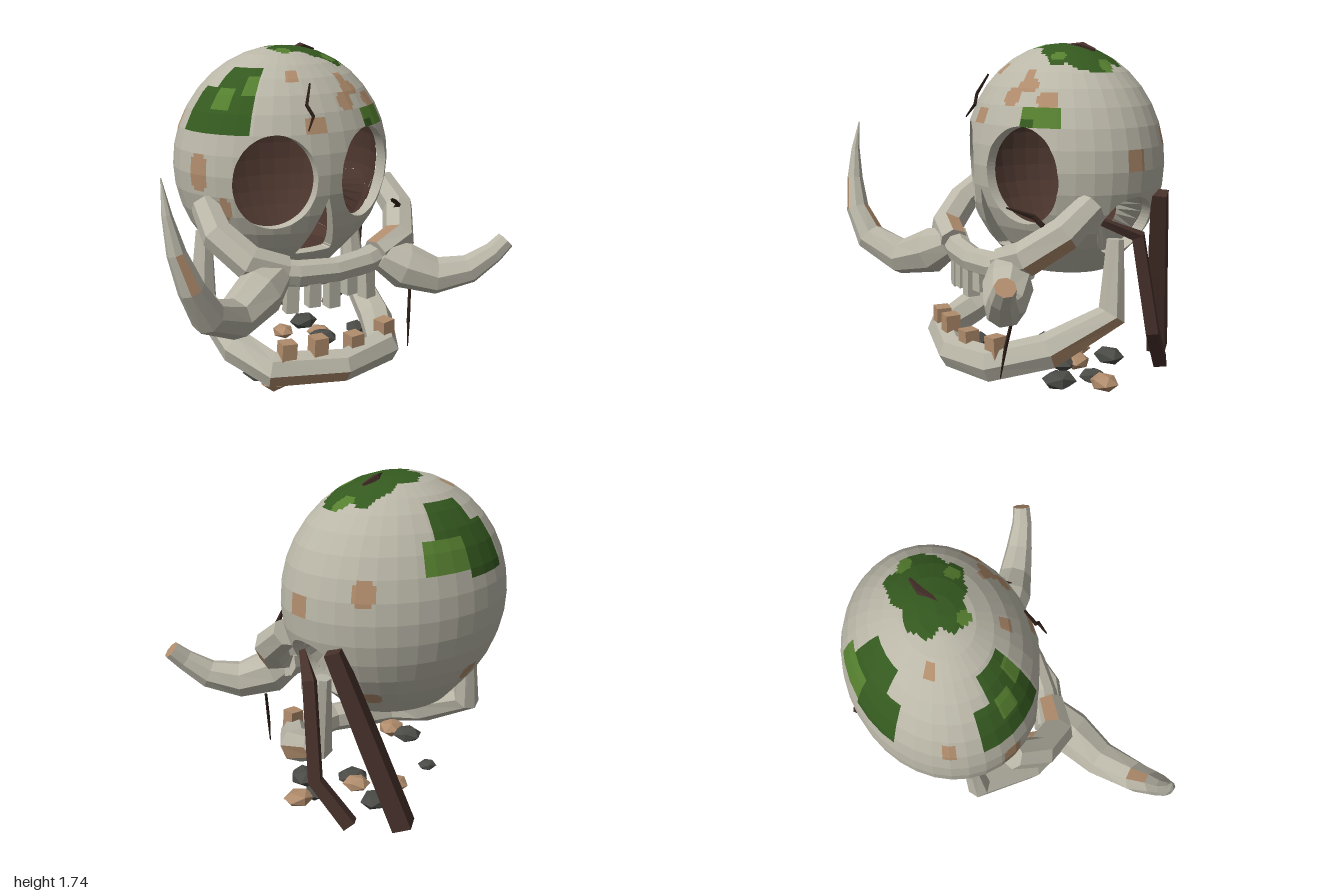
import * as THREE from 'three';

const mat = (name, color) => Object.assign(new THREE.MeshStandardMaterial({ color }), { name });
const bone = mat('bone', 0xbab7a8);
const stain = mat('tan stain', 0xb08c6c);
const moss = mat('dark moss', 0x34591f);
const lightMoss = mat('light moss', 0x557f2f);
const hollow = mat('hollow brown', 0x4c362e);
const wood = mat('root brown', 0x46302a);
const crackDark = mat('crack brown', 0x2e1f18);
const stone = mat('dark stone', 0x4a4a46);

const V = (x, y, z) => new THREE.Vector3(x, y, z);

// Collects triangles by material and turns them into one faceted mesh
class Facets {
  constructor() { this.buckets = new Map(); }
  tri(m, ...pts) {
    if (!this.buckets.has(m)) this.buckets.set(m, []);
    for (const p of pts) this.buckets.get(m).push(p.x, p.y, p.z);
  }
  quad(m, a, b, c, d) { this.tri(m, a, b, c); this.tri(m, a, c, d); }
  mesh(name) {
    const geo = new THREE.BufferGeometry(), all = [], mats = [];
    for (const [m, list] of this.buckets) {
      geo.addGroup(all.length / 3, list.length / 3, mats.length);
      for (const v of list) all.push(v);
      mats.push(m);
    }
    geo.setAttribute('position', new THREE.Float32BufferAttribute(all, 3));
    geo.computeVertexNormals();
    const mesh = new THREE.Mesh(geo, mats);
    mesh.name = name;
    return mesh;
  }
}

// Faceted limb: rows are [x, y, z, radius]; spots are [segment, direction] of the faces to stain
function limb(name, rows, sides, base, spots = [], endMat = base) {
  const f = new Facets(), c = rows.map(r => V(r[0], r[1], r[2])), last = c.length - 1;
  let n = V(0.13, 0.9, 0.31);
  const rings = c.map((p, i) => {
    const t = c[Math.min(i + 1, last)].clone().sub(c[Math.max(i - 1, 0)]).normalize();
    n = n.clone().addScaledVector(t, -n.dot(t)).normalize();
    const b = t.clone().cross(n);
    return Array.from({ length: sides }, (_, k) => {
      const a = (k + 0.5) / sides * Math.PI * 2;
      return p.clone().addScaledVector(n, Math.cos(a) * rows[i][3]).addScaledVector(b, Math.sin(a) * rows[i][3]);
    });
  });
  const facing = (i, k) => rings[i][k].clone().add(rings[i][(k + 1) % sides]).multiplyScalar(0.5).sub(c[i]).normalize();
  const stained = new Set(spots.map(([i, dir]) => {
    const score = rings[i].map((_, k) => facing(i, k).add(facing(i + 1, k)).dot(dir));
    return i * sides + score.indexOf(Math.max(...score));
  }));
  for (let k = 0; k < sides; k++) {
    const k2 = (k + 1) % sides;
    for (let i = 0; i < last; i++)
      f.quad(stained.has(i * sides + k) ? stain : base, rings[i][k], rings[i][k2], rings[i + 1][k2], rings[i + 1][k]);
    f.tri(base, c[0], rings[0][k2], rings[0][k]);
    f.tri(endMat, c[last], rings[last][k], rings[last][k2]);
  }
  return f.mesh(name);
}

// --- Cranium: hollow ellipsoid with eye, nose and temple openings ---
const C = V(0.05, 1.12, -0.19), R = V(0.615, 0.62, 0.505), SHELL = 0.9;

// Negative inside an opening
function openings(p) {
  const oval = (a, b, ra, rb) => Math.hypot(a / ra, b / rb) - 1;
  let d = 1;
  if (p.z > C.z) {
    d = Math.min(d, oval(p.x + 0.22, p.y - 1.09, 0.2, 0.245), oval(p.x - 0.325, p.y - 1.09, 0.2, 0.245));
    d = Math.min(d, Math.max(Math.abs(p.x - 0.05) - 0.34 * (1.0 - p.y), 0.67 - p.y) * 5);
  }
  if (p.x > C.x) d = Math.min(d, oval(p.z + 0.25, p.y - 0.83, 0.17, 0.16));
  return d;
}

// Point on the scaled ellipsoid, straight along z (front) or x (side)
const rest = (a, ra, b, rb) => Math.sqrt(Math.max(0, 1 - (a / ra / SHELL) ** 2 - (b / rb / SHELL) ** 2)) * SHELL;
const frontInner = p => V(p.x, p.y, C.z + R.z * rest(p.x - C.x, R.x, p.y - C.y, R.y));
const sideInner = p => V(C.x + R.x * rest(p.y - C.y, R.y, p.z - C.z, R.z), p.y, p.z);

// Stains: azimuth (0 front, 90 left side), elevation, half width, half height in degrees
const stains = [[-17, 52, 6, 4], [18, 35, 7, 4.5], [28, 42, 7.5, 5], [43.5, 34, 7, 5], [26, 48, 5, 3.5], [-6, 24, 7, 5],
  [-72, 1, 6, 10], [-56, -16, 4, 5.5], [96, 5, 7, 5.5], [134, 14, 5.5, 5.5], [133, -45, 7, 4.5], [-110, 23, 5, 5.5],
  [-124, 64, 7, 3.5], [-160, -35, 7, 4.5], [-75, -32, 5, 4]];

function skullPaint(az, el) {
  const inBox = (a0, a1, e0, e1) => az > a0 && az < a1 && el > e0 && el < e1;
  const ce = Math.cos(el * Math.PI / 180), a = az * Math.PI / 180;
  const x = C.x + R.x * ce * Math.sin(a), z = C.z + R.z * ce * Math.cos(a);
  // crown patch
  if (el > 50) {
    const dx = (x - 0.2) / 0.26, dz = (z + 0.18) / 0.18, w = Math.atan2(dz, dx);
    const near = (px, pz, r) => Math.hypot(x - px, z - pz) < r;
    if (Math.hypot(dx, dz) < 1 + 0.1 * Math.sin(w * 5 + 1) + 0.05 * Math.sin(w * 11))
      return near(0.41, -0.25, 0.06) || near(-0.01, -0.07, 0.045) || near(0.25, -0.04, 0.04) ? lightMoss : moss;
  }
  // side patch
  if (inBox(-90, -74, 20, 44) || inBox(-76, -42, 20, 58))
    return inBox(-72, -58, 32, 44) || inBox(-52, -42, 40, 52) ? lightMoss : moss;
  // brow patch
  if (inBox(28, 52, 20, 30)) return az < 36 && el < 24 ? moss : lightMoss;
  // back patch
  if (inBox(164, 181, 20, 36) || inBox(-181, -170, 20, 36)) return lightMoss;
  if (inBox(172, 181, 36, 56) || inBox(-181, -154, 36, 56) || inBox(-170, -142, 16, 42)) return moss;
  for (const [sa, se, hw, hh] of stains)
    if (Math.abs((az - sa) / hw) ** 3 + Math.abs((el - se) / hh) ** 3 < 1) return stain;
  return bone;
}

function cranium() {
  const f = new Facets(), U = 36, W = 18, S = 5;
  const node = (i, j) => {
    const az = (i / U * 2 - 1) * Math.PI, el = (j / W - 0.5) * Math.PI;
    return V(C.x + R.x * Math.cos(el) * Math.sin(az), j < 4 ? 0.56 : C.y + R.y * Math.sin(el), C.z + R.z * Math.cos(el) * Math.cos(az));
  };
  const inner = p => p.clone().sub(C).multiplyScalar(SHELL).add(C);
  // Trims a triangle at the openings; rim adds the wall of the opening
  const addClipped = (m, tri, rim) => {
    const d = tri.map(openings), poly = [];
    let exit, entry;
    tri.forEach((p, i) => {
      const k = (i + 1) % 3;
      if (d[i] > 0) poly.push(p);
      if ((d[i] > 0) !== (d[k] > 0)) {
        const q = p.clone().lerp(tri[k], d[i] / (d[i] - d[k]));
        poly.push(q);
        if (d[i] > 0) exit = q; else entry = q;
      }
    });
    for (let i = 2; i < poly.length; i++) f.tri(m, poly[0], poly[i - 1], poly[i]);
    if (exit && rim) {
      const drop = exit.z > 0 ? frontInner : sideInner;
      f.quad(bone, exit, drop(exit), drop(entry), entry);
    }
  };
  for (let i = 0; i < U; i++) for (let j = 0; j < W; j++) {
    const [a, b, c, d] = [node(i, j), node(i + 1, j), node(i + 1, j + 1), node(i, j + 1)];
    const at = (u, v) => a.clone().lerp(b, u / S).lerp(d.clone().lerp(c, u / S), v / S);
    for (let u = 0; u < S; u++) for (let v = 0; v < S; v++) {
      const m = skullPaint((i + (u + 0.5) / S) / U * 360 - 180, (j + (v + 0.5) / S) / W * 180 - 90);
      const [p, q, r, s] = [at(u, v), at(u + 1, v), at(u + 1, v + 1), at(u, v + 1)];
      for (const t of [[p, q, r], [p, r, s]]) {
        addClipped(m, t, true);
        addClipped(hollow, [inner(t[0]), inner(t[2]), inner(t[1])], false);
      }
    }
  }
  return f.mesh('cranium');
}

// Bone funnel narrowing inwards from the temple opening, brown on its hidden side
function templeLining() {
  const f = new Facets(), N = 20;
  const ring = k => {
    const a = k / N * Math.PI * 2, co = Math.cos(a), si = Math.sin(a);
    return [sideInner(V(0, 0.83 + 0.16 * co, -0.25 + 0.17 * si)), V(0.4, 0.89 + 0.085 * co, -0.22 + 0.085 * si)];
  };
  for (let k = 0; k < N; k++) {
    const [a, b] = ring(k), [d, c] = ring(k + 1);
    f.quad(bone, d, c, b, a);
    f.quad(hollow, a, b, c, d);
  }
  return f.mesh('templeLining');
}

export function createModel() {
  const g = new THREE.Group();
  g.name = 'skull';
  g.add(cranium(), templeLining());

  // Upper jaw and cheek arches
  g.add(limb('upperJaw', [[-0.36, 0.66, 0.27, 0.08], [-0.16, 0.63, 0.33, 0.072], [0.05, 0.62, 0.35, 0.068],
    [0.26, 0.63, 0.33, 0.072], [0.46, 0.66, 0.27, 0.08]], 8, bone));
  for (const s of [-1, 1]) {
    const x = v => 0.05 + s * v;
    g.add(limb(s > 0 ? 'leftCheek' : 'rightCheek', [[x(0.55), 0.96, -0.02, 0.077], [x(0.56), 0.84, 0.14, 0.088],
      [x(0.46), 0.72, 0.29, 0.092], [x(0.28), 0.66, 0.33, 0.082]], 7, bone,
      s > 0 ? [[1, V(1, 0, 0.1)], [2, V(0, 1, 0.3)]] : [[2, V(0, 1, -0.2)]]));
  }

  // Tusks: one whole, one broken off
  g.add(limb('rightTusk', [[-0.27, 0.65, 0.33, 0.08], [-0.4, 0.59, 0.38, 0.127], [-0.6, 0.525, 0.49, 0.102], [-0.79, 0.62, 0.61, 0.085],
    [-0.885, 0.78, 0.65, 0.064], [-0.945, 0.95, 0.64, 0.045], [-0.975, 1.12, 0.62, 0.024], [-0.985, 1.28, 0.59, 0.002]],
    8, bone, [[4, V(0, 0, 1)], [2, V(0, -0.3, -1)], [3, V(0.5, 0, -0.8)]]));
  g.add(limb('leftTusk', [[0.36, 0.65, 0.33, 0.08], [0.48, 0.585, 0.38, 0.125], [0.63, 0.53, 0.48, 0.1], [0.78, 0.57, 0.57, 0.078],
    [0.89, 0.66, 0.63, 0.058], [0.955, 0.725, 0.65, 0.05]], 8, bone, [], stain));

  // Lower jaw
  g.add(limb('lowerJaw', [[-0.42, 0.76, -0.22, 0.045], [-0.45, 0.38, -0.19, 0.078], [-0.41, 0.21, 0.15, 0.095], [-0.32, 0.15, 0.36, 0.093],
    [0.04, 0.135, 0.465, 0.085], [0.34, 0.15, 0.4, 0.093], [0.47, 0.21, 0.15, 0.095], [0.54, 0.37, -0.19, 0.078], [0.52, 0.76, -0.22, 0.045]],
    7, bone, [[3, V(0, -0.4, 1)], [6, V(1, -0.4, 0)]]));

  // Teeth
  const tooth = (name, m, x, y0, y1, z, w, turn) => {
    const t = new THREE.Mesh(new THREE.BoxGeometry(w, y1 - y0, w), m);
    t.position.set(x, (y0 + y1) / 2, z);
    t.rotation.set(0, turn, (x - 0.03) * 0.2);
    t.name = name;
    g.add(t);
  };
  for (const [x, y] of [[-0.19, 0.43], [-0.075, 0.45], [0.035, 0.43], [0.145, 0.48], [0.275, 0.43]])
    tooth('upperTooth', bone, x, y, 0.59, 0.36 - (x - 0.05) ** 2 * 0.6, 0.067, (x - 0.05) * 0.8);
  for (const [x, y] of [[-0.255, 0.3], [-0.085, 0.305], [0.135, 0.28], [0.36, 0.3]])
    tooth('lowerTooth', stain, x, 0.19, y, 0.43 - (x - 0.03) ** 2 * 0.4, 0.08, (x - 0.03) * 0.5);

  // Roots leaning on the side
  g.add(limb('straightRoot', [[0.59, 0.99, -0.44, 0.055], [0.46, 0.53, -0.54, 0.066], [0.33, 0.06, -0.65, 0.07]], 4, wood));
  g.add(limb('bentRoot', [[0.56, 0.87, -0.1, 0.022], [0.63, 0.79, -0.28, 0.042], [0.66, 0.29, -0.36, 0.045], [0.55, 0.07, -0.5, 0.048]], 4, wood));

  // Cracks and splinters
  g.add(limb('browCrack', [[-0.02, 1.58, 0.22, 0.006], [-0.065, 1.48, 0.265, 0.01], [-0.04, 1.425, 0.29, 0.01], [-0.085, 1.36, 0.32, 0.004]], 4, crackDark));
  g.add(limb('cheekSplinter', [[0.41, 0.955, 0.35, 0.004], [0.5, 0.915, 0.25, 0.014], [0.55, 0.88, 0.23, 0.014], [0.53, 0.84, 0.18, 0.005]], 4, crackDark));
  g.add(limb('jawSplinter', [[0.53, 0.45, 0.38, 0.008], [0.505, 0.28, 0.41, 0.009], [0.49, 0.13, 0.43, 0.003]], 4, crackDark));
  g.add(limb('crownSplinter', [[0.1, 1.725, -0.15, 0.008], [0.19, 1.725, -0.22, 0.022], [0.28, 1.705, -0.24, 0.008]], 4, wood));

  // Stones on the ground: x, z, radius, material
  const stones = [[0.61, -0.1, 0.085, stain], [0.47, 0.08, 0.095, stone], [0.255, -0.075, 0.09, stone], [0.505, -0.1, 0.075, stone],
    [0.28, -0.15, 0.08, stain], [0.29, -0.35, 0.09, stone], [0.1, -0.27, 0.075, stain], [-0.16, -0.21, 0.055, stone],
    [-0.27, 0.29, 0.095, stain], [-0.295, 0.16, 0.09, stone]];
  stones.forEach(([x, z, r, m], i) => {
    const rock = new THREE.Mesh(new THREE.IcosahedronGeometry(1, 0), m);
    rock.scale.set(r, r * 0.53, r * 0.85);
    rock.rotation.y = i * 1.3;
    rock.position.set(x, 0.05, z);
    rock.name = 'stone';
    g.add(rock);
  });
  return g;
}
